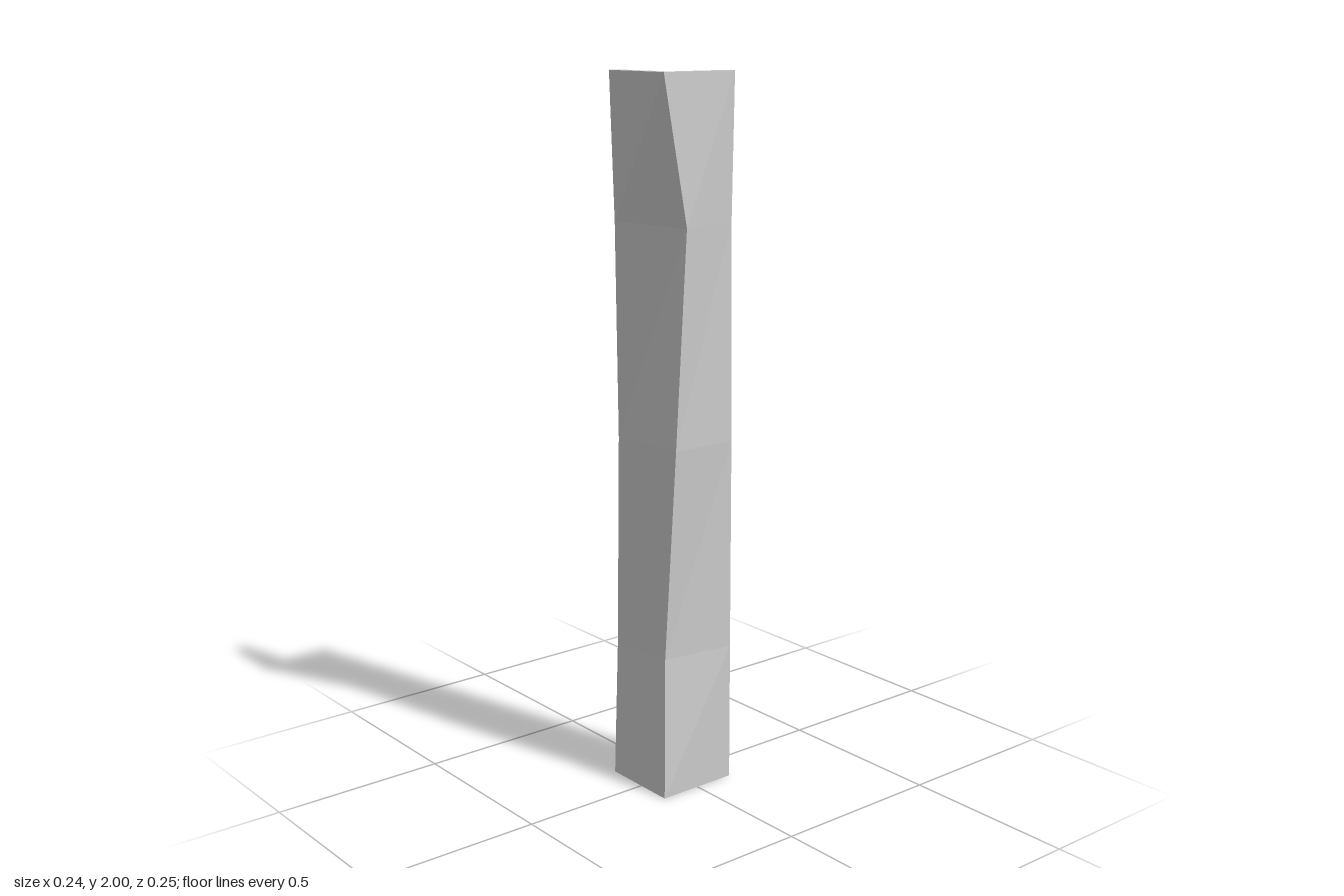
import * as THREE from 'three';

// Worn angle strip: open L-shaped shell whose outer corner is dented along its height
export function createModel() {
  const group = new THREE.Group();
  group.name = 'angleStrip';
  const material = new THREE.MeshStandardMaterial({
    color: 0xcccccc, flatShading: true, side: THREE.DoubleSide,
  });

  // Fixed dimensions of the L section
  const right = 0.12, back = -0.123, innerX = -0.08, innerZ = 0.077;

  // Per level: height, outer corner (x, z), x of the back edge, z of the side edge
  const levels = [
    [0, -0.12, 0.107, -0.12, 0.107],
    [0.4, -0.095, 0.079, -0.106, 0.106],
    [1, -0.08, 0.108, -0.097, 0.105],
    [1.6, -0.055, 0.122, -0.105, 0.098],
    [2, -0.12, 0.107, -0.12, 0.107],
  ];
  const section = ([y, cornerX, cornerZ, backX, sideZ]) => [
    [innerX, y, back], [backX, y, back], [cornerX, y, cornerZ],
    [right, y, sideZ], [right, y, innerZ],
  ];

  // Outer walls and the two narrow edge strips
  const positions = [];
  for (let i = 0; i < levels.length - 1; i++) {
    const low = section(levels[i]), high = section(levels[i + 1]);
    for (let j = 0; j < low.length - 1; j++) {
      const [a, b, c, d] = [low[j], low[j + 1], high[j + 1], high[j]];
      positions.push(...a, ...b, ...c, ...a, ...c, ...d);
    }
  }
  const shell = new THREE.BufferGeometry();
  shell.setAttribute('position', new THREE.Float32BufferAttribute(positions, 3));
  shell.computeVertexNormals();
  const walls = new THREE.Mesh(shell, material);
  walls.name = 'outerWalls';
  group.add(walls);

  // L-shaped end caps
  const outline = section(levels[0]).concat([[innerX, 0, innerZ]]);
  const shape = new THREE.Shape(outline.map(([x, , z]) => new THREE.Vector2(x, -z)));
  for (const [name, y] of [['bottomCap', 0], ['topCap', 2]]) {
    const geometry = new THREE.ShapeGeometry(shape);
    geometry.rotateX(-Math.PI / 2);
    const cap = new THREE.Mesh(geometry, material);
    cap.position.y = y;
    cap.name = name;
    group.add(cap);
  }
  return group;
}
